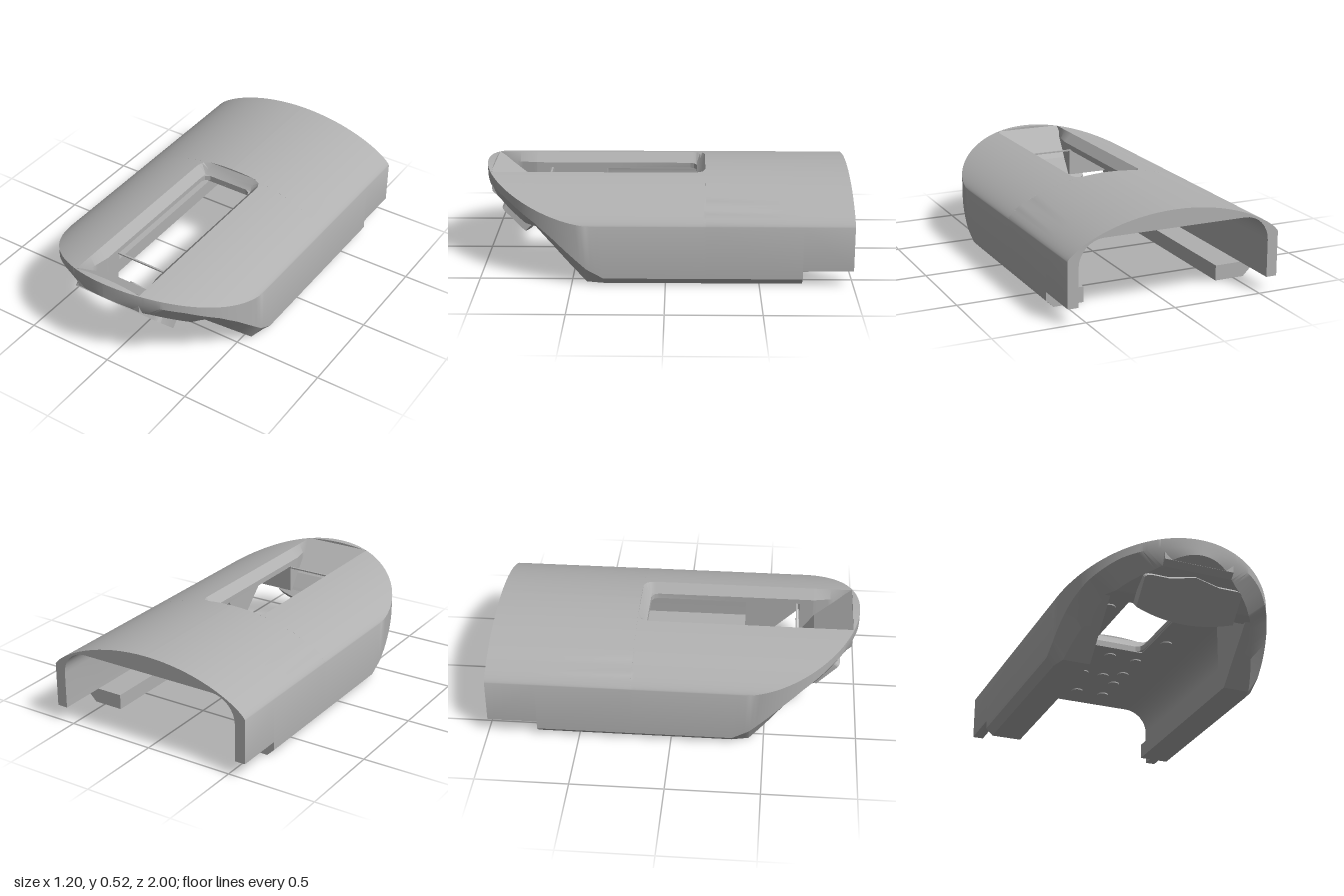
import * as THREE from 'three';
import { toCreasedNormals } from 'three/addons/utils/BufferGeometryUtils.js';

const grey = new THREE.MeshStandardMaterial({ color: 0xb0b0b0 });
grey.name = 'grey';

// piecewise linear function through [z, value] pairs
const along = (pts) => (z) => {
  if (z <= pts[0][0]) return pts[0][1];
  for (let i = 1; i < pts.length; i++) {
    const [a, va] = pts[i - 1], [b, vb] = pts[i];
    if (z <= b) return va + (vb - va) * (z - a) / (b - a);
  }
  return pts[pts.length - 1][1];
};
const E = 1e-4;
const crown = (x) => 0.33 + 0.195 * Math.pow(Math.max(0, 1 - (x / 0.6) ** 2), 0.75);
const halfWidth = (z) => (z < 0.4 ? 0.6 : Math.sqrt(Math.max(0, 0.36 - (z - 0.4) ** 2)));
const underside = along([[-0.73 - E, 0.085], [-0.73 + E, 0], [0.42, 0], [0.7, 0.27],
  [0.76, 0.275], [0.93, 0.37], [1, 0.435]]);
const sideBottom = along([[-0.73 - E, 0.087], [-0.73 + E, 0.04], [0.33, 0.04], [0.42, 0.09],
  [0.6, 0.25], [0.7, 0.325], [0.85, 0.41], [1, 0.47]]);
const bevel = along([[-0.73 - E, 0.004], [-0.73 + E, 0.04], [0.33, 0.04], [0.6, 0.1], [1, 0.1]]);
const slotTop = along([[-0.215 - E, 0], [-0.215 + E, 0.15], [-0.2, 0.185], [-0.165, 0.2],
  [0.96 - E, 0.2], [0.96 + E, 0]]);
const slotHole = along([[-0.17 - E, 0], [-0.17 + E, 0.12], [-0.155, 0.145], [-0.13, 0.155],
  [0.75, 0.155], [0.96 - E, 0.195], [0.96 + E, 0]]);
const slotDepth = along([[-0.215 + E, 0], [-0.17, 0.05], [0.96 - E, 0.05], [0.96 + E, 0]]);

// right half of the shell's cross-section at z, clockwise from the slot edge
function section(z) {
  const p = [], w = halfWidth(z), t = slotTop(z), s = slotHole(z);
  const yc = crown(t) - slotDepth(z), b = underside(z), c = Math.min(bevel(z), 0.3 * w);
  p.push([s, yc], [Math.max(t - 0.045, s), yc]);
  for (let i = 0; i <= 18; i++) p.push([t + (w - t) * Math.sin(i / 18 * Math.PI / 2), crown(t + (w - t) * Math.sin(i / 18 * Math.PI / 2))]);
  p.push([w, sideBottom(z)], [w - c, b]);
  const front = z > 0.36;
  const ceiling = z > 0.67 ? Math.max(b, 0.27) : 0.43;
  const xi = z < -0.73 ? 0.54 : Math.max(s, Math.min(0.39, w - c));
  const ledge = front ? Math.max(b, 0.27) : 0.085;
  p.push([xi, b], [xi, ledge], [front ? xi : 0.54, ledge]);
  for (let i = 0; i <= 8; i++) {
    const a = i / 8 * Math.PI / 2;
    p.push(front ? [xi, ledge + (ceiling - ledge) * i / 8]
      : [0.4 + 0.14 * Math.cos(a), 0.29 + 0.14 * Math.sin(a)]);
  }
  p.push([s, ceiling]);
  return p;
}

// joins the sections into one side of the shell
function shellSide(sign) {
  const zs = [-1, -0.2, -0.19, -0.155, -0.14, -0.13, 0.33];
  for (const z of [-0.73, -0.215, -0.17, 0.36, 0.67, 0.96]) zs.push(z - E, z + E);
  for (let i = 0; i <= 36; i++) zs.push(0.4 + 0.6 * Math.sin(i / 36 * Math.PI / 2));
  zs.push(0.42, 0.7, 0.75, 0.76, 0.93);
  zs.sort((a, b) => a - b);
  const pos = [], idx = [], n = section(0).length;
  zs.forEach((z) => section(z).forEach(([x, y]) => pos.push(sign * x, y, z)));
  for (let r = 0; r < zs.length - 1; r++) {
    for (let k = 0; k < n; k++) {
      const a = r * n + k, b = r * n + (k + 1) % n, c = a + n, d = b + n;
      if (sign > 0) idx.push(a, c, b, b, c, d);
      else idx.push(a, b, c, b, d, c);
    }
  }
  const g = new THREE.BufferGeometry();
  g.setAttribute('position', new THREE.Float32BufferAttribute(pos, 3));
  g.setIndex(idx);
  return toCreasedNormals(g, 0.5);
}

export function createModel() {
  const model = new THREE.Group();
  const add = (name, geometry, parent = model) => {
    const m = new THREE.Mesh(geometry, grey);
    m.name = name;
    parent.add(m);
    return m;
  };
  const toShape = (pts) => new THREE.Shape(pts.map(([x, y]) => new THREE.Vector2(x, y)));

  // arched shell with open back, side ledges and rounded nose
  add('leftShell', shellSide(1));
  add('rightShell', shellSide(-1));

  // flat end face of the arch at the back
  const half = section(-1).slice(2);
  const arch = half.concat(half.slice(1, -1).reverse().map(([x, y]) => [-x, y]));
  add('backRim', new THREE.ShapeGeometry(toShape(arch)).rotateY(Math.PI).translate(0, 0, -1));

  // sloping ramp that closes the front of the slot
  const ramp = toShape([[0.69, 0.27], [0.76, 0.275], [0.93, 0.37], [0.96, 0.397],
    [0.96, 0.512], [0.755, 0.36], [0.7, 0.285]]);
  add('slotRamp', new THREE.ExtrudeGeometry(ramp, { depth: 0.39, bevelEnabled: false })
    .rotateY(-Math.PI / 2).translate(0.195, 0, 0));
  const screw = add('rampScrew', new THREE.CylinderGeometry(0.034, 0.034, 0.012, 24));
  screw.position.set(0, 0.325, 0.727);
  screw.rotation.x = -0.94;

  // slanted thumb tab under the nose
  const tab = new THREE.Shape();
  tab.moveTo(-0.275, -0.05);
  tab.lineTo(-0.275, -0.21);
  tab.quadraticCurveTo(0, -0.303, 0.275, -0.21);
  tab.lineTo(0.275, -0.05);
  tab.quadraticCurveTo(0.27, -0.03, 0.235, -0.03);
  tab.lineTo(0.14, -0.03);
  tab.lineTo(0, 0);
  tab.lineTo(-0.14, -0.03);
  tab.lineTo(-0.235, -0.03);
  tab.quadraticCurveTo(-0.27, -0.03, -0.275, -0.05);
  const lip = add('thumbTab', toCreasedNormals(new THREE.ExtrudeGeometry(tab,
    { depth: 0.06, bevelEnabled: false, curveSegments: 20 }).translate(0, 0, -0.06), 0.5));
  lip.position.set(0, 0.345, 0.92);
  lip.rotation.x = 0.76;

  // thin panel under the ceiling, cut out around the slot
  const panel = toShape([[-0.33, -0.66], [0.33, -0.66], [0.33, 0.93], [-0.33, 0.93]]);
  panel.holes.push(new THREE.Path([[-0.16, -0.65], [-0.16, 0.17], [0.16, 0.17], [0.16, -0.65]]
    .map(([x, y]) => new THREE.Vector2(x, y))));
  add('ceilingPanel', new THREE.ExtrudeGeometry(panel, { depth: 0.008, bevelEnabled: false })
    .rotateX(-Math.PI / 2).translate(0, 0.423, 0));

  // round studs on the panel
  const studs = new THREE.Group();
  studs.name = 'panelStuds';
  model.add(studs);
  const stud = new THREE.CylinderGeometry(0.034, 0.034, 0.008, 24);
  const addStud = (x, z) => add('stud', stud, studs).position.set(x, 0.42, z);
  addStud(0, -0.82);
  addStud(0, -0.27);
  for (const side of [-1, 1]) {
    for (const z of [-0.82, -0.64, -0.49, -0.29]) addStud(side * 0.17, z);
    addStud(side * 0.065, -0.55);
    for (const z of [0, 0.31, 0.47, 0.6]) addStud(side * 0.24, z);
  }
  return model;
}
